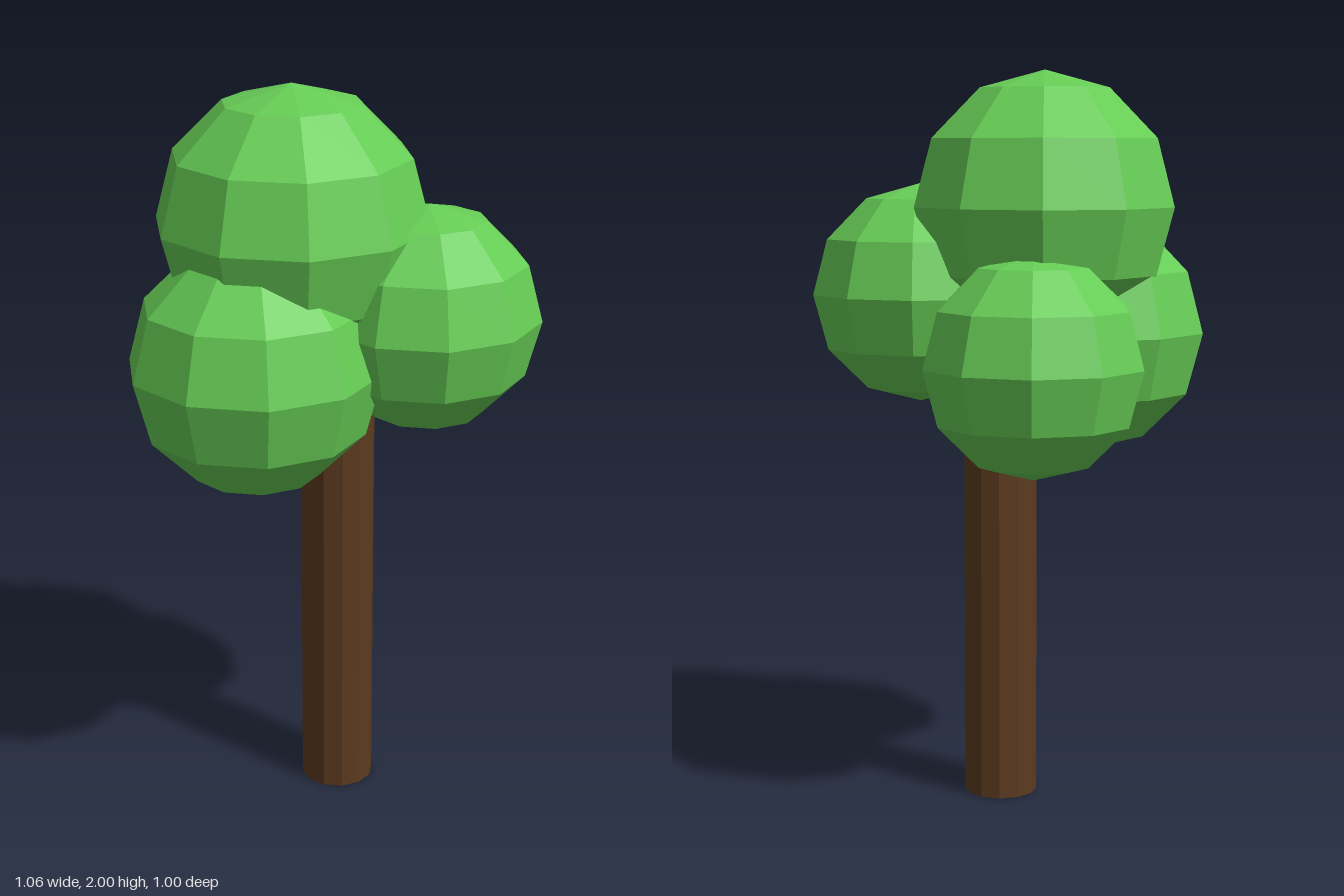
import * as THREE from 'three';

export function createModel() {
  const tree = new THREE.Group();
  tree.name = 'tree';

  const leafMaterial = new THREE.MeshStandardMaterial({ color: 0x66cc55, flatShading: true });
  const barkMaterial = new THREE.MeshStandardMaterial({ color: 0x5c3a1e, flatShading: true });

  // Straight trunk, its top hidden inside the crown
  const height = 1.42;
  const trunk = new THREE.Mesh(new THREE.CylinderGeometry(0.1, 0.1, height, 12), barkMaterial);
  trunk.name = 'trunk';
  trunk.position.set(0.02, height / 2, 0.045);
  tree.add(trunk);

  // Ten-sided leaf balls with a corner pointing to the front
  const addFoliage = (name, radius, x, y, z) => {
    const ball = new THREE.Mesh(new THREE.SphereGeometry(radius, 10, 6), leafMaterial);
    ball.name = name;
    ball.position.set(x, y, z);
    ball.rotation.y = Math.PI / 2;
    tree.add(ball);
  };
  addFoliage('topFoliage', 0.364, -0.1, 1.636, 0.043);
  addFoliage('rightFoliage', 0.337, -0.213, 1.289, 0.163);
  addFoliage('leftFoliage', 0.301, 0.245, 1.395, 0.125);
  addFoliage('backFoliage', 0.301, -0.076, 1.225, -0.2);

  return tree;
}
